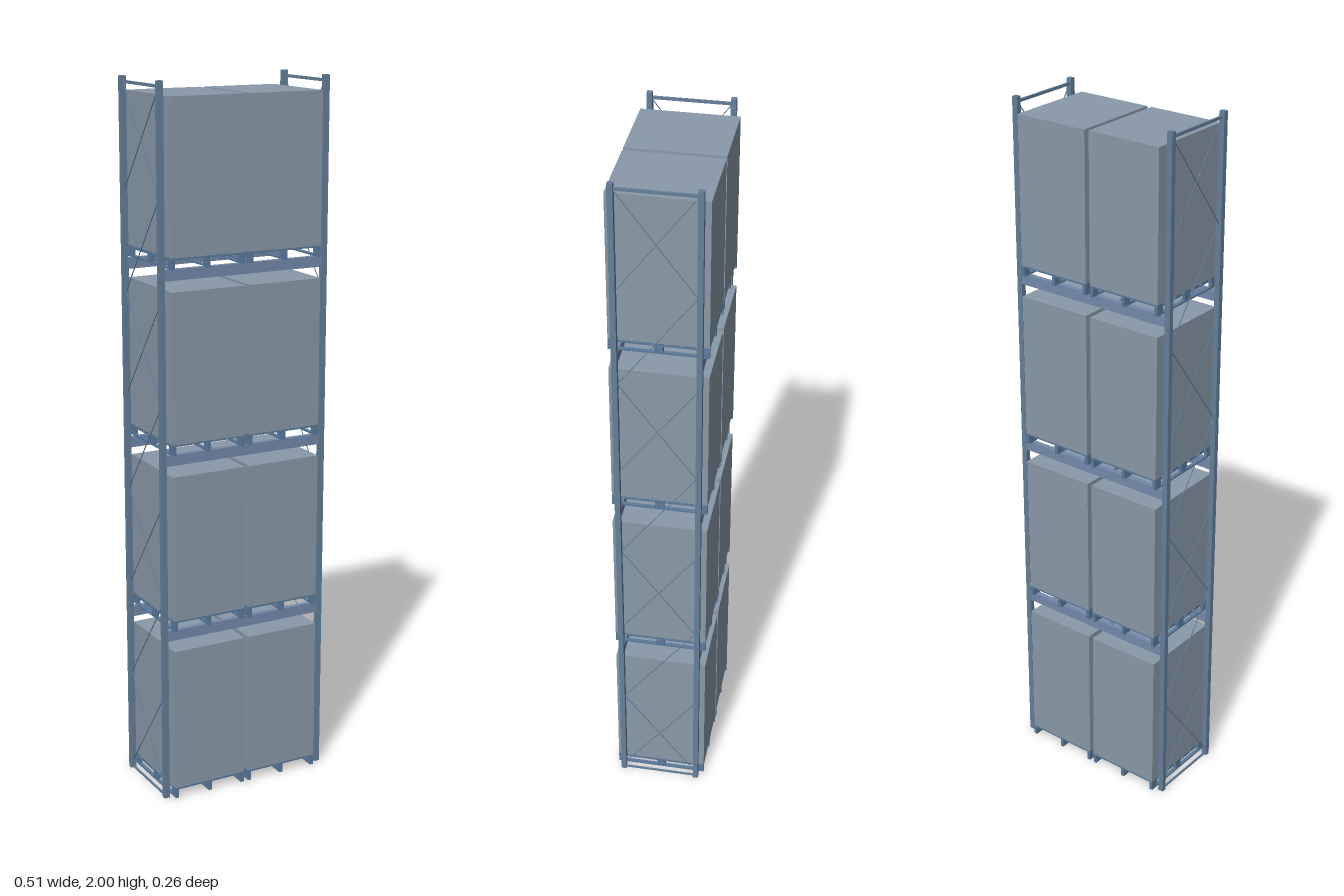
import * as THREE from 'three';

const paint = (color) => new THREE.MeshStandardMaterial({ color, flatShading: true });
const frameSteel = paint(0x65809a);
const beamSteel = paint(0x748bac);
const palletPaint = paint(0x5a7b9c);
const loadWrap = paint(0x8a9aa9);

function box(parent, name, material, w, h, d, x, y, z) {
  const mesh = new THREE.Mesh(new THREE.BoxGeometry(w, h, d), material);
  mesh.name = name;
  mesh.position.set(x, y, z);
  parent.add(mesh);
  return mesh;
}

// Thin bar in the side plane, from (y0, z0) to (y1, z1)
function brace(parent, y0, z0, y1, z1) {
  const length = Math.hypot(y1 - y0, z1 - z0);
  const bar = box(parent, 'diagonalBrace', frameSteel, 0.002, length, 0.002, 0, (y0 + y1) / 2, (z0 + z1) / 2);
  bar.rotation.x = Math.atan2(z1 - z0, y1 - y0);
}

// Two posts, end struts and crossed bracing
function sideFrame() {
  const frame = new THREE.Group();
  frame.name = 'sideFrame';
  for (const z of [-0.11, 0.11]) {
    box(frame, 'upright', frameSteel, 0.016, 2, 0.015, 0, 1, z);
  }
  box(frame, 'topStrut', frameSteel, 0.005, 0.008, 0.206, 0, 1.985, 0);
  box(frame, 'bottomStrut', frameSteel, 0.005, 0.005, 0.206, 0, 0.004, 0);
  const panels = 7, bottom = 0.025, step = 0.2795, half = 0.104;
  for (let i = 0; i < panels; i++) {
    const y = bottom + i * step;
    brace(frame, y, half, y + step, -half);
    if (i % 2 === 0) brace(frame, y, -half, y + step, half);
  }
  return frame;
}

// Pallet with runners, blocks and slatted deck, carrying one boxed load
function palletLoad() {
  const unit = new THREE.Group();
  unit.name = 'palletLoad';
  const width = 0.22, depth = 0.262;
  for (const x of [-0.105, 0, 0.105]) {
    box(unit, 'palletRunner', palletPaint, 0.01, 0.005, depth, x, 0.0025, 0);
    for (const z of [-0.119, 0, 0.119]) {
      box(unit, 'palletBlock', palletPaint, 0.01, 0.018, 0.024, x, 0.014, z);
    }
    box(unit, 'palletStringer', palletPaint, 0.01, 0.003, depth, x, 0.0245, 0);
  }
  const boards = 7, boardDepth = 0.026;
  for (let i = 0; i < boards; i++) {
    const z = (i / (boards - 1) - 0.5) * (depth - boardDepth);
    box(unit, 'deckBoard', palletPaint, width, 0.005, boardDepth, 0, 0.0285, z);
  }
  box(unit, 'load', loadWrap, width, 0.415, depth, 0, 0.2385, 0);
  return unit;
}

export function createModel() {
  const rack = new THREE.Group();
  rack.name = 'palletRack';

  // The second frame is the first turned half round
  for (const side of [-1, 1]) {
    const frame = sideFrame();
    frame.position.x = side * 0.248;
    frame.rotation.y = side < 0 ? Math.PI : 0;
    rack.add(frame);
  }

  for (let level = 0; level < 4; level++) {
    const y = level * 0.505;
    // A front and a back beam carry every level above the floor
    if (level > 0) {
      for (const z of [-0.11, 0.11]) {
        box(rack, 'beam', beamSteel, 0.488, 0.03, 0.0142, 0, y - 0.0155, z);
      }
    }
    for (const x of [-0.117, 0.117]) {
      const unit = palletLoad();
      unit.position.set(x, y, 0);
      rack.add(unit);
    }
  }
  return rack;
}
